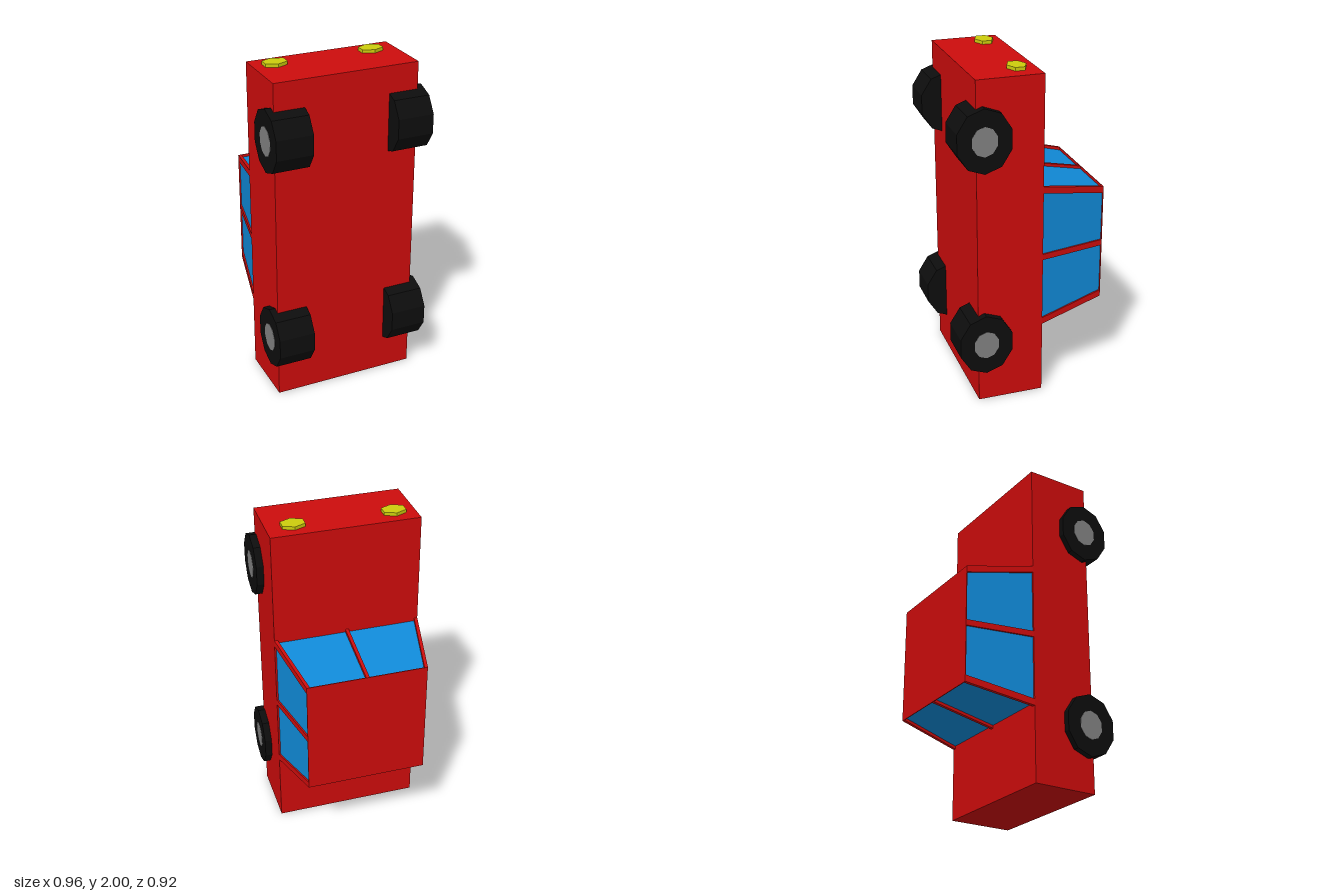
import * as THREE from 'three';

const mat = (name, color) => {
  const m = new THREE.MeshStandardMaterial({ color });
  m.name = name;
  return m;
};

export function createModel() {
  const red = mat('red paint', 0xcc0c0c);
  const blue = mat('blue glass', 0x108ad8);
  const black = mat('black rubber', 0x0d0d0d);
  const grey = mat('grey hub', 0x808080);
  const yellow = mat('yellow lamp', 0xcccc0d);

  const car = new THREE.Group();
  car.name = 'car';
  const add = (parent, name, geometry, material, x = 0, y = 0, z = 0) => {
    const mesh = new THREE.Mesh(geometry, material);
    mesh.name = name;
    mesh.position.set(x, y, z);
    parent.add(mesh);
    return mesh;
  };

  // Car stands on its tail: nose up, underside to +z, roof to -z
  add(car, 'body', new THREE.BoxGeometry(0.875, 1.98, 0.395), red, -0.0025, 0.99, 0.1425);

  // Cabin: boxes whose outer sides lean inwards towards the roof
  const cabin = new THREE.Group();
  cabin.name = 'cabin';
  cabin.position.set(-0.0025, 0.8825, -0.055);
  car.add(cabin);
  const height = 0.402;
  const lean = (v, t) => (Math.abs(v) > 0.1 ? v - Math.sign(v) * 0.08 * t : v);
  const leaning = (name, material, x0, x1, y0, y1, d0 = 0, d1 = height) => {
    const g = new THREE.BoxGeometry(x1 - x0, y1 - y0, d1 - d0);
    g.translate((x0 + x1) / 2, (y0 + y1) / 2, -(d0 + d1) / 2);
    const p = g.attributes.position;
    for (let i = 0; i < p.count; i++) {
      const t = -p.getZ(i) / height;
      p.setXY(i, lean(p.getX(i), t), lean(p.getY(i), t));
    }
    g.computeVertexNormals();
    add(cabin, name, g, material);
  };
  const H = 0.4375;
  leaning('windows', blue, -H + 0.01, H - 0.01, -H + 0.018, H - 0.018, 0, height - 0.003);
  leaning('roof', red, -H, H, -H, H, height - 0.004, height);
  for (const s of [-1, 1]) {
    const span = (a, b) => (s > 0 ? [a, b] : [-b, -a]);
    for (const [y0, y1] of [[-H, -H + 0.04], [H - 0.04, H]]) {
      leaning('cornerPillar', red, ...span(H - 0.02, H), y0, y1);
    }
    leaning('sidePillar', red, ...span(H - 0.02, H), -0.018, 0.018);
    leaning('screenPillar', red, -0.01, 0.01, ...span(H - 0.04, H));
  }

  // Wheels: slightly squashed ten-sided drums with a thin hub plate
  const drum = (ry, rz, width) => new THREE.CylinderGeometry(1, 1, width, 10)
    .rotateY(Math.PI / 2).rotateZ(Math.PI / 2).scale(1, ry, rz).toNonIndexed();
  const tyre = drum(0.188, 0.165, 0.22);
  const hub = drum(0.087, 0.077, 0.006);
  tyre.computeVertexNormals();
  hub.computeVertexNormals();
  for (const s of [-1, 1]) {
    for (const y of [0.39, 1.643]) {
      const wheel = new THREE.Group();
      wheel.name = 'wheel';
      wheel.position.set(s * 0.367, y, 0.303);
      car.add(wheel);
      add(wheel, 'tyre', tyre, black);
      add(wheel, 'hub', hub, grey, s * 0.109);
    }
  }

  // Headlights: stretched hexagons on the nose
  const lamp = new THREE.CylinderGeometry(1, 1, 0.03, 6).scale(0.076, 1, 0.057).toNonIndexed();
  lamp.computeVertexNormals();
  for (const x of [-0.312, 0.279]) add(car, 'headlight', lamp, yellow, x, 1.985, 0.056);

  return car;
}
